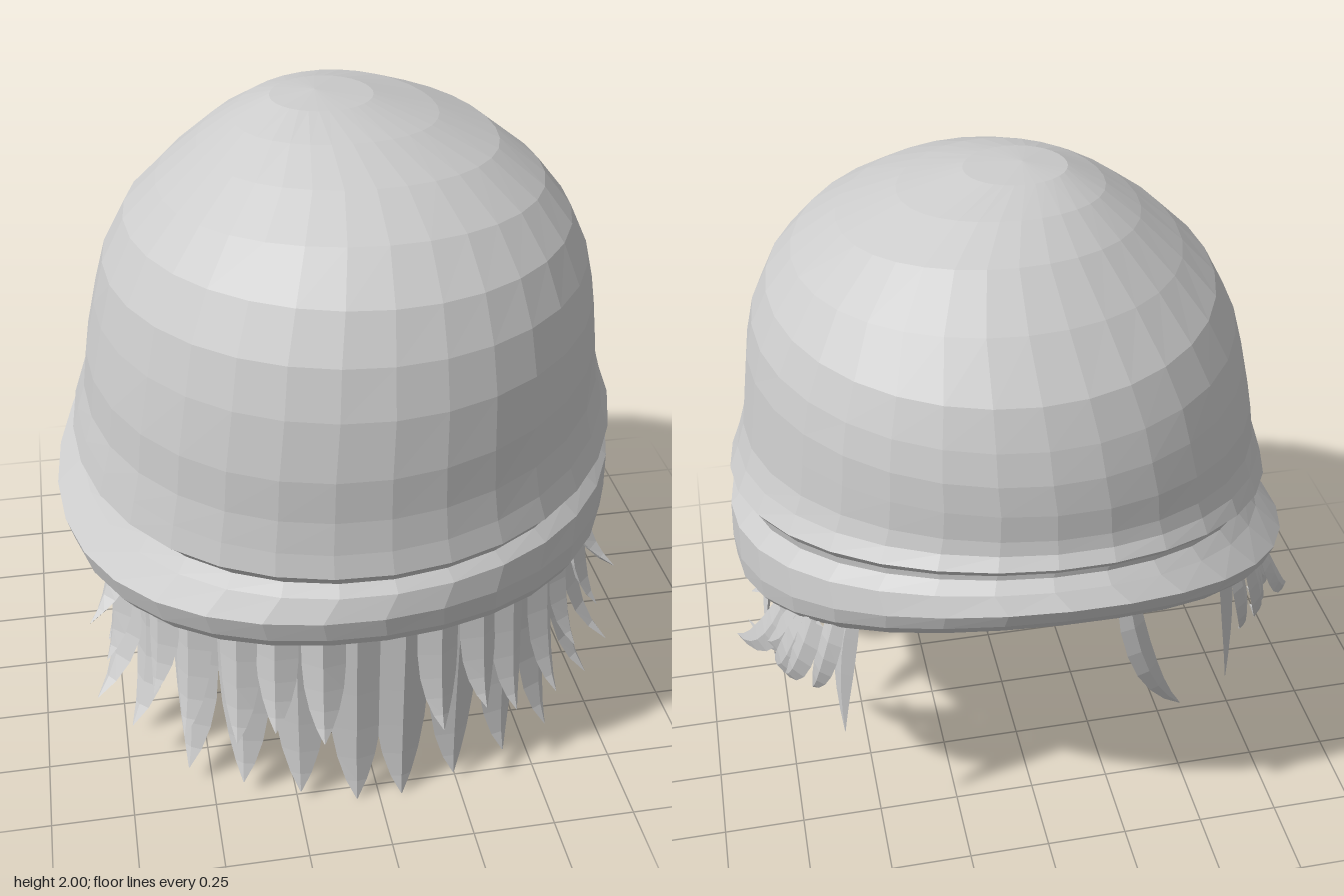
import * as THREE from 'three';

const SEG = 32;
const V = (x, y, z) => new THREE.Vector3(x, y, z);
const lerp = THREE.MathUtils.lerp;

const cloth = new THREE.MeshStandardMaterial({ color: 0xcccccc, flatShading: true, side: THREE.DoubleSide });
const hairMat = new THREE.MeshStandardMaterial({ color: 0xcccccc, flatShading: true, side: THREE.DoubleSide });

// Joins rows of equal length into a quad surface
function loft(rows, material, name) {
  const n = rows[0].length, index = [];
  for (let i = 0; i < rows.length - 1; i++) {
    for (let j = 0; j < n - 1; j++) {
      const a = i * n + j, b = a + 1, c = a + n, d = c + 1;
      index.push(a, b, d, a, d, c);
    }
  }
  const geo = new THREE.BufferGeometry().setFromPoints(rows.flat());
  geo.setIndex(index);
  geo.computeVertexNormals();
  const mesh = new THREE.Mesh(geo, material);
  mesh.name = name;
  return mesh;
}

// Tilted ring: half width, front z, back z, heights at front / sides / back, x shift, sideways tilt
function ring([rx, zF, zB, yF, yM, yB, dx = 0, tilt = 0.04]) {
  const row = [];
  for (let j = 0; j <= SEG; j++) {
    const a = (j / SEG) * Math.PI * 2, s = Math.sin(a), c = Math.cos(a);
    row.push(V(
      dx + rx * s,
      yM + ((yF - yB) / 2) * c + ((yF + yB) / 2 - yM) * c * c + tilt * s,
      (zF + zB) / 2 + ((zF - zB) / 2) * c
    ));
  }
  return row;
}

// Leaf-shaped lock of hair bent along a curve, with a flat diamond section
function lock(root, bend, tip, width, name, thick = 0.03) {
  const curve = new THREE.QuadraticBezierCurve3(root, bend, tip);
  const profile = [0.85, 1, 1, 0.9, 0.68, 0.38, 0.02];
  const out = V(bend.x, 0, bend.z).normalize();
  const rows = profile.map((k, i) => {
    const t = i / (profile.length - 1), p = curve.getPoint(t);
    const side = curve.getTangent(t).cross(out).normalize();
    const normal = side.clone().cross(curve.getTangent(t)).normalize();
    const w = width * 0.5 * k, h = thick * k;
    const at = (u, v) => p.clone().addScaledVector(side, u).addScaledVector(normal, v);
    return [at(w, 0), at(0, h), at(-w, 0), at(0, -h), at(w, 0)];
  });
  return loft(rows, hairMat, name);
}

export function createModel() {
  const model = new THREE.Group();
  model.name = 'knitCapWithHair';

  // Cap with a double rolled cuff, from the lower edge to the crown
  const capRings = [
    [0.77, 0.80, -0.78, 0.69, 0.67, 1.02, 0, 0.03],
    [0.83, 0.87, -0.84, 0.68, 0.645, 1.00, 0, 0.03],
    [0.865, 0.885, -0.87, 0.71, 0.69, 1.04, -0.005, 0.03],
    [0.88, 0.90, -0.89, 0.78, 0.77, 1.09, -0.015, 0.03],
    [0.835, 0.88, -0.85, 0.85, 0.875, 1.13, 0.025],
    [0.79, 0.85, -0.81, 0.88, 0.93, 1.15, 0.02],
    [0.805, 0.865, -0.81, 0.90, 0.96, 1.165, 0.015],
    [0.84, 0.895, -0.83, 0.93, 1.00, 1.19, 0.01],
    [0.815, 0.88, -0.80, 1.00, 1.07, 1.22, 0.005],
    [0.79, 0.87, -0.79, 1.10, 1.15, 1.26, 0.005],
    [0.775, 0.87, -0.785, 1.23, 1.27, 1.34, 0.005],
    [0.75, 0.85, -0.77, 1.40, 1.41, 1.43, 0.015, 0.02],
    [0.72, 0.81, -0.74, 1.54, 1.53, 1.52, 0.02, 0.01],
    [0.66, 0.74, -0.69, 1.67, 1.65, 1.63, 0.03, 0],
    [0.57, 0.61, -0.56, 1.79, 1.75, 1.77, 0.04, 0],
    [0.44, 0.45, -0.41, 1.88, 1.855, 1.89, 0.035, 0],
    [0.30, 0.29, -0.27, 1.945, 1.93, 1.955, 0, 0],
    [0.15, 0.14, -0.13, 1.985, 1.985, 1.99, -0.04, 0],
    [0, 0, 0, 2, 2, 2, -0.06, 0]
  ];
  model.add(loft(capRings.map(ring), cloth, 'cap'));

  // Underside that closes the cap, a shallow fan
  model.add(loft([
    [0, 0, 0, 0.95, 0.95, 0.95, 0, 0],
    [0.70, 0.72, -0.70, 0.72, 0.75, 1.04, 0, 0.02],
    capRings[0]
  ].map(ring), hairMat, 'capUnderside'));

  // Hair sheet behind the fringe: outer face, jagged lower edge, sloping inner face
  const sheetRow = (r, yTop, t) => Array.from({ length: 15 }, (_, j) => {
    const a = -1.2 + (j / 14) * 2.4;
    const low = 0.27 + 0.10 * Math.abs(a) + (j % 2) * 0.06;
    return V(r * Math.sin(a), lerp(yTop, low, t), r * Math.cos(a));
  });
  model.add(loft([
    sheetRow(0.64, 0.76, 0), sheetRow(0.70, 0.74, 0.5), sheetRow(0.73, 0.74, 1),
    sheetRow(0.75, 0.74, 0.5), sheetRow(0.76, 0.74, 0)
  ].reverse(), hairMat, 'hairSheet'));

  // Long fringe tips [x, y, z], then the shorter flicked layer above; both mirrored
  const longTips = [
    [0.07, 0, 0.80], [0.24, 0.03, 0.77], [0.41, 0.05, 0.72], [0.57, 0.06, 0.64],
    [0.73, 0.16, 0.53], [0.83, 0.20, 0.43], [0.78, 0.33, 0.31]
  ];
  const shortTips = [
    [0.18, 0.30, 0.86], [0.32, 0.33, 0.82], [0.43, 0.26, 0.77], [0.58, 0.24, 0.69],
    [0.66, 0.34, 0.60], [0.79, 0.34, 0.42], [0.83, 0.50, 0.43]
  ];
  // Swept locks behind the temples: root, bend, tip, width
  const swept = [
    [[0.76, 0.70, -0.03], [0.78, 0.60, -0.03], [0.80, 0.47, -0.11], 0.09],
    [[0.74, 0.78, -0.36], [0.82, 0.57, -0.32], [0.89, 0.51, -0.14], 0.10],
    [[0.70, 0.82, -0.44], [0.78, 0.58, -0.38], [0.85, 0.60, -0.18], 0.10],
    [[0.68, 0.84, -0.48], [0.78, 0.55, -0.46], [0.78, 0.51, -0.24], 0.10],
    [[0.66, 0.86, -0.52], [0.74, 0.60, -0.52], [0.76, 0.51, -0.33], 0.09],
    [[0.60, 0.88, -0.56], [0.66, 0.66, -0.58], [0.68, 0.53, -0.45], 0.08],
    [[0.56, 0.90, -0.58], [0.60, 0.70, -0.56], [0.60, 0.45, -0.58], 0.08]
  ];
  for (const m of [1, -1]) {
    const hair = new THREE.Group();
    hair.name = m > 0 ? 'leftHair' : 'rightHair';
    const fringe = (tips, rRoot, rBend, width, name) => tips.forEach(([x, y, z]) => {
      const a = Math.atan2(x, z) * 1.04, s = Math.sin(a) * m, c = Math.cos(a);
      hair.add(lock(
        V(s * rRoot, 0.76, c * rRoot),
        V(s * rBend, lerp(0.76, y, 0.8), c * rBend),
        V(x * m, y, z), width, name));
    });
    fringe(longTips, 0.77, 0.74, 0.17, 'longFringeLock');
    fringe(shortTips, 0.79, 0.79, 0.13, 'shortFringeLock');
    for (const [p, q, t, w] of swept) {
      const at = ([x, y, z]) => V(x * m, y, z);
      hair.add(lock(at(p), at(q), at(t), w, 'sweptLock', 0.015));
    }
    model.add(hair);
  }

  // Loose strands on the right rear
  model.add(lock(V(-0.20, 1.02, -0.79), V(-0.24, 0.72, -0.83), V(-0.41, 0.50, -0.71), 0.08, 'looseStrand', 0.012));
  model.add(lock(V(-0.74, 0.82, -0.42), V(-0.80, 0.64, -0.45), V(-0.88, 0.58, -0.32), 0.08, 'looseStrand', 0.012));

  return model;
}
